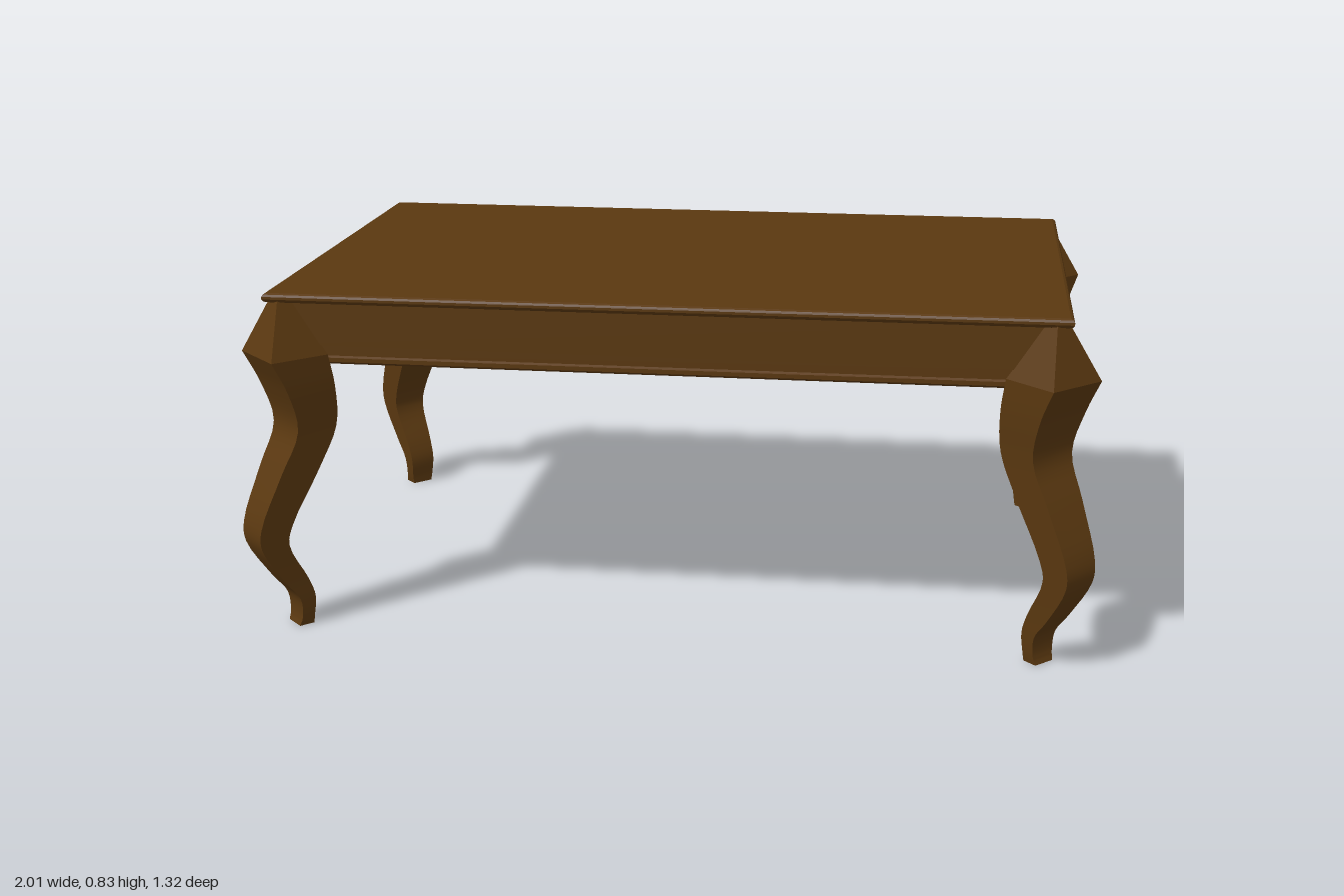
import * as THREE from 'three';
import { toCreasedNormals } from 'three/addons/utils/BufferGeometryUtils.js';

const wood = new THREE.MeshStandardMaterial({ color: 0x5a3810 });

// Skin four-cornered rings, listed bottom to top, and close both ends
function loft(name, rings) {
  const index = [];
  for (let i = 0; i < rings.length - 1; i++) {
    for (let j = 0; j < 4; j++) {
      const a = i * 4 + j, b = i * 4 + (j + 1) % 4;
      index.push(a, b, b + 4, a, b + 4, a + 4);
    }
  }
  const t = (rings.length - 1) * 4;
  index.push(t, t + 1, t + 2, t, t + 2, t + 3, 0, 2, 1, 0, 3, 2);
  const geometry = new THREE.BufferGeometry();
  geometry.setAttribute('position', new THREE.Float32BufferAttribute(rings.flat(2), 3));
  geometry.setIndex(index);
  const mesh = new THREE.Mesh(toCreasedNormals(geometry, 0.4), wood);
  mesh.name = name;
  return mesh;
}

// Rectangular ring, inset from the edge of the table top
function rectangle(inset, y) {
  const x = 0.93 - inset, z = 0.58 - inset;
  return [[x, y, z], [x, y, -z], [-x, y, -z], [-x, y, z]];
}

// Leg sections: height, outermost edge, face width, innermost edge
const LEG = [
  [0, 0.58, 0.04, 0.513],
  [0.02, 0.578, 0.045, 0.51],
  [0.07, 0.583, 0.05, 0.505],
  [0.12, 0.61, 0.053, 0.515],
  [0.22, 0.657, 0.062, 0.545],
  [0.27, 0.66, 0.067, 0.535],
  [0.4, 0.627, 0.08, 0.477],
  [0.5, 0.6, 0.09, 0.439],
  [0.6, 0.625, 0.105, 0.434],
  [0.68, 0.655, 0.11, 0.443],
];
const CAP = [0.815, 0.575, 0.025, 0.53];

// Section turned 45 degrees, pointing out through a table corner
function legRing([y, outer, width, inner], sx, sz) {
  const ring = [
    [outer, outer - width], [inner + width, inner],
    [inner, inner + width], [outer - width, outer],
  ].map(([x, z]) => [sx * (x + 0.343), y, sz * z]);
  return sx * sz < 0 ? ring.reverse() : ring;
}

// Smoothly interpolate the sections up the curved leg
function legSections(steps) {
  const edges = new THREE.CatmullRomCurve3(LEG.map(([y, o, , i]) => new THREE.Vector3(o, y, i)), false, 'centripetal');
  const widths = new THREE.CatmullRomCurve3(LEG.map(([y, , w]) => new THREE.Vector3(w, y, 0)), false, 'centripetal');
  return Array.from({ length: steps + 1 }, (_, k) => {
    const p = edges.getPoint(k / steps), w = widths.getPoint(k / steps);
    return [p.y, p.x, w.x, p.z];
  });
}

export function createModel() {
  const model = new THREE.Group();
  model.name = 'table';

  // Thin top with a rounded edge
  model.add(loft('tableTop', [
    [0.012, 0.805], [0.004, 0.808], [0, 0.814], [0, 0.82], [0.003, 0.825], [0.009, 0.828],
  ].map((r) => rectangle(...r))));

  // Apron with a stepped moulding along its lower edge
  model.add(loft('apron', [
    [0.05, 0.652], [0.042, 0.658], [0.042, 0.668], [0.048, 0.672],
    [0.048, 0.698], [0.025, 0.702], [0.025, 0.81],
  ].map((r) => rectangle(...r))));

  // Four S-curved legs, each with a tapering block above the knee
  const sections = legSections(36);
  for (const sx of [-1, 1]) {
    for (const sz of [-1, 1]) {
      const leg = new THREE.Group();
      leg.name = (sz > 0 ? 'front' : 'back') + (sx > 0 ? 'Left' : 'Right') + 'Leg';
      leg.add(loft('curvedLeg', sections.map((s) => legRing(s, sx, sz))));
      leg.add(loft('cornerBlock', [LEG[LEG.length - 1], CAP].map((s) => legRing(s, sx, sz))));
      model.add(leg);
    }
  }
  return model;
}
